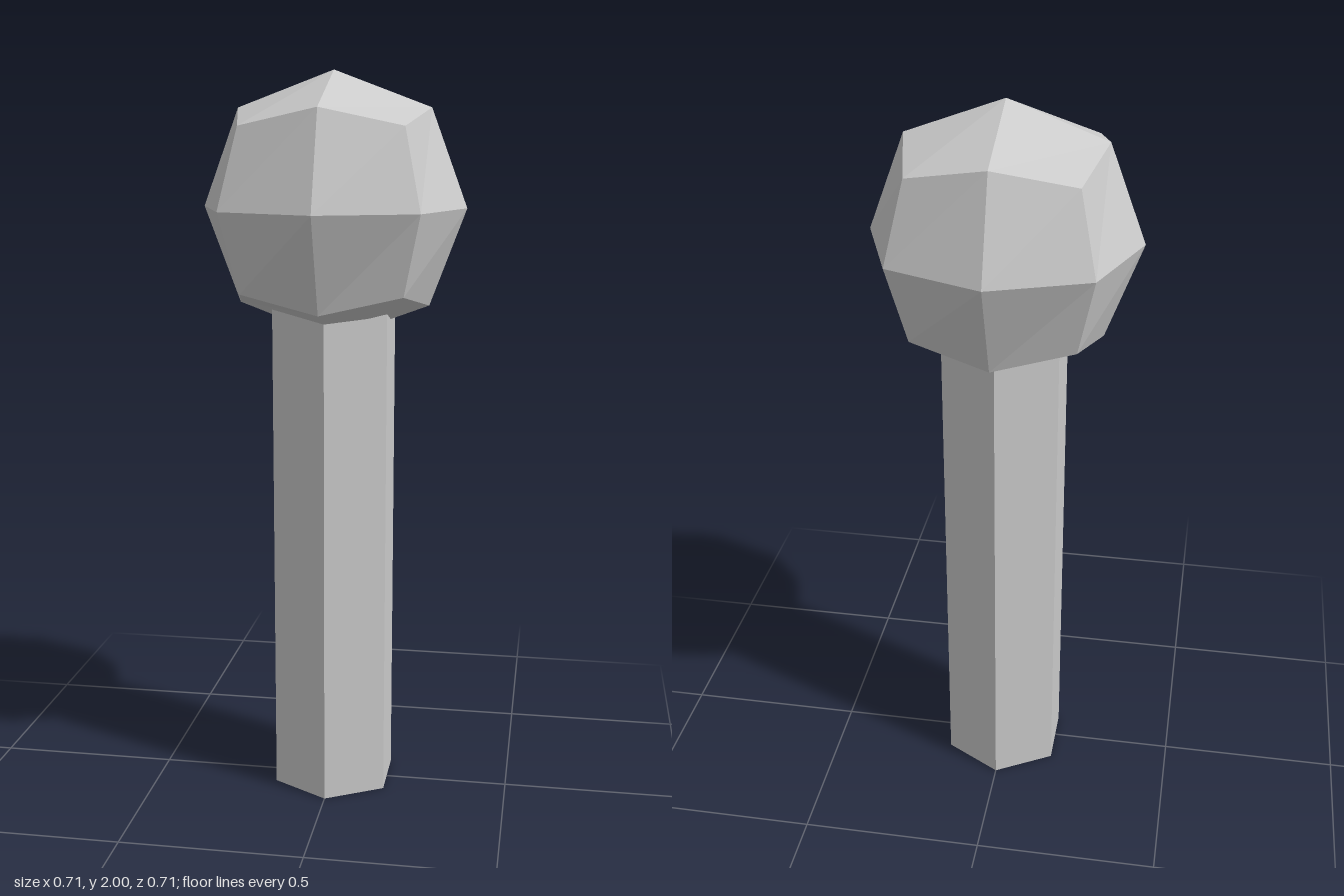
import * as THREE from 'three';

// Faceted ball: a box split 2 x 2 per face, with its points pushed out towards a sphere
function facetedBall(faceR, edgeR, cornerR) {
  const box = new THREE.BoxGeometry(2, 2, 2, 2, 2, 2);
  const pos = box.attributes.position;
  const v = new THREE.Vector3();
  const reach = [0, faceR, edgeR, cornerR]; // by number of non-zero coordinates
  for (let i = 0; i < pos.count; i++) {
    v.fromBufferAttribute(pos, i).round();
    const n = Math.abs(v.x) + Math.abs(v.y) + Math.abs(v.z);
    v.multiplyScalar(reach[n]);
    pos.setXYZ(i, v.x, v.y, v.z);
  }
  const geometry = box.toNonIndexed();
  geometry.computeVertexNormals();
  return geometry;
}

export function createModel() {
  const model = new THREE.Group();
  model.name = 'knobbedPost';
  const material = new THREE.MeshStandardMaterial({ color: 0xcccccc, flatShading: true });

  // Round head
  const head = new THREE.Mesh(facetedBall(0.357, 0.26, 0.214), material);
  head.name = 'head';
  head.position.y = 1.643;

  // Six-sided post, its top sunk into the head
  const postHeight = 1.45;
  const post = new THREE.Mesh(new THREE.CylinderGeometry(0.18, 0.18, postHeight, 6), material);
  post.name = 'post';
  post.position.set(0, postHeight / 2, -0.01);

  model.add(head, post);
  return model;
}
